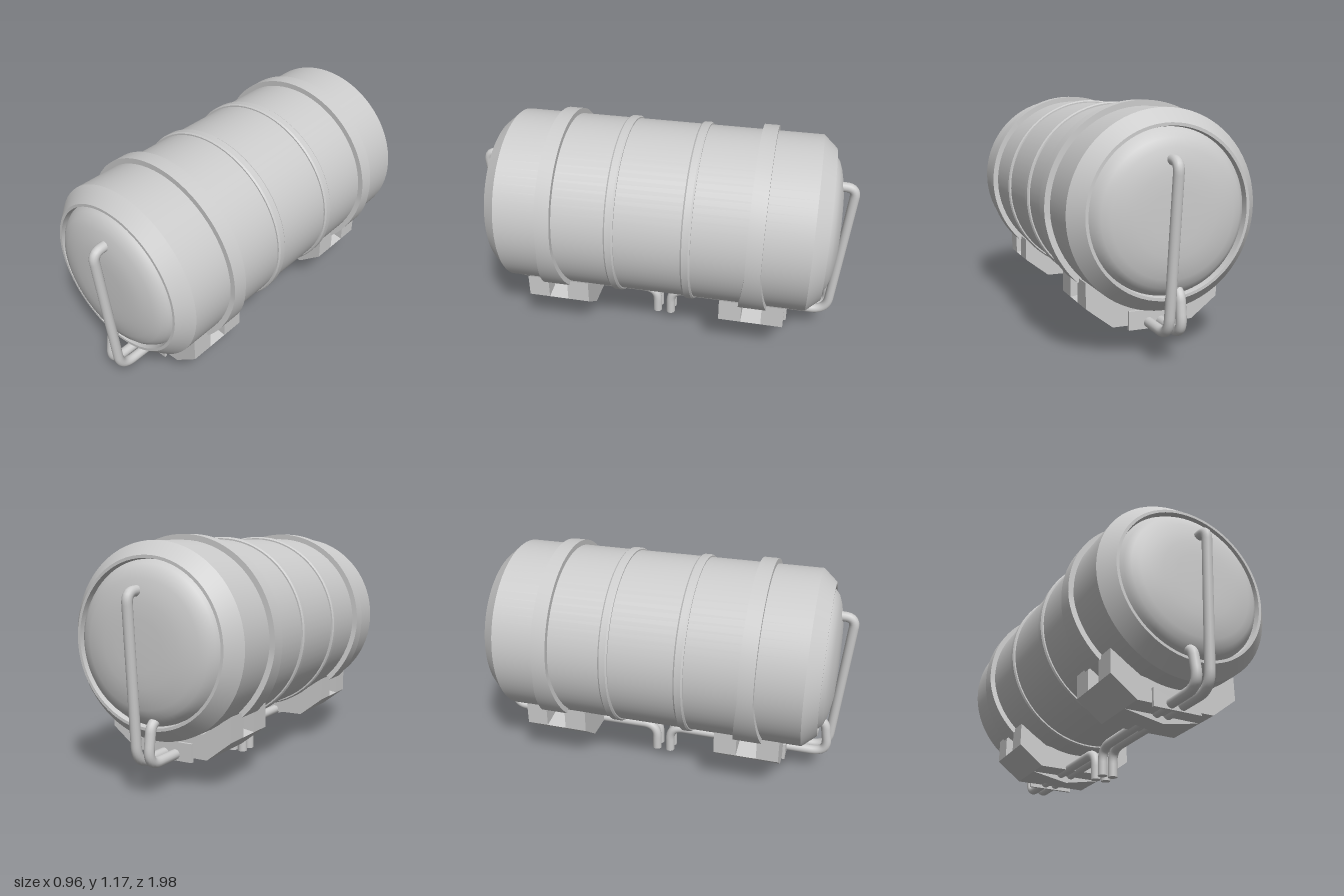
import * as THREE from 'three';
import { toCreasedNormals } from 'three/addons/utils/BufferGeometryUtils.js';

const AXIS_Y = 0.685; // height of the tank axis
const material = new THREE.MeshStandardMaterial({ color: 0xcccccc });

function addMesh(parent, name, geometry) {
  const mesh = new THREE.Mesh(geometry, material);
  mesh.name = name;
  parent.add(mesh);
  return mesh;
}

// Profile of [radius, z] turned around the z axis
function turned(profile) {
  const points = profile.map(([r, z]) => new THREE.Vector2(r, z));
  const geometry = new THREE.LatheGeometry(points, 72).rotateX(Math.PI / 2);
  return toCreasedNormals(geometry, 0.5).translate(0, AXIS_Y, 0);
}

// Half outline mirrored in x and extruded from z0 to z1
function slab(half, z0, z1) {
  const left = half.filter(([x]) => x > 0).reverse().map(([x, y]) => [-x, y]);
  const shape = new THREE.Shape([...half, ...left].map(([x, y]) => new THREE.Vector2(x, y)));
  return new THREE.ExtrudeGeometry(shape, { depth: z1 - z0, bevelEnabled: false }).translate(0, 0, z0);
}

// Pipe through corner points [x, y, z, bend size]
function pipe(corners, radius) {
  const p = corners.map(([x, y, z]) => new THREE.Vector3(x, y, z));
  const path = new THREE.CurvePath();
  let from = p[0];
  for (let i = 1; i < p.length - 1; i++) {
    const bend = corners[i][3];
    const a = p[i].clone().add(p[i - 1].clone().sub(p[i]).setLength(bend));
    const b = p[i].clone().add(p[i + 1].clone().sub(p[i]).setLength(bend));
    path.add(new THREE.LineCurve3(from, a));
    path.add(new THREE.QuadraticBezierCurve3(a, p[i], b));
    from = b;
  }
  path.add(new THREE.LineCurve3(from, p[p.length - 1]));
  return new THREE.TubeGeometry(path, 140, radius, 16, false);
}

// Band over the tank that widens towards its two lower ends
function strapGeometry(zMid) {
  const steps = 80, start = -0.8, end = Math.PI + 0.8;
  const positions = [], index = [];
  for (let i = 0; i <= steps; i++) {
    const a = start + (end - start) * i / steps;
    const drop = Math.max(0, -0.09 - Math.sin(a)) / 0.63;
    const w = 0.038 + 0.034 * Math.pow(drop, 1.1);
    for (const [r, z] of [[0.445, -w], [0.445, w], [0.482, w], [0.482, -w]]) {
      positions.push(r * Math.cos(a), AXIS_Y + r * Math.sin(a), zMid + z);
    }
    if (i === steps) break;
    for (let k = 0; k < 4; k++) {
      const p = i * 4 + k, q = i * 4 + (k + 1) % 4;
      index.push(q, q + 4, p + 4, q, p + 4, p);
    }
  }
  const e = steps * 4;
  index.push(0, 2, 1, 0, 3, 2, e, e + 1, e + 2, e, e + 2, e + 3);
  const geometry = new THREE.BufferGeometry();
  geometry.setAttribute('position', new THREE.Float32BufferAttribute(positions, 3));
  geometry.setIndex(index);
  return toCreasedNormals(geometry, 0.6);
}

export function createModel() {
  const model = new THREE.Group();
  model.name = 'tankOnSaddles';

  // Tank shell: chamfered ends, lip and shallow domed heads
  const frontHalf = [
    [0.455, 0.785], [0.392, 0.856], [0.378, 0.856], [0.374, 0.825],
    [0.355, 0.855], [0.33, 0.876], [0.29, 0.891], [0.24, 0.903],
    [0.19, 0.911], [0.12, 0.914], [0, 0.915],
  ];
  const backHalf = frontHalf.map(([r, z]) => [r, -z]).reverse();
  addMesh(model, 'tank', turned([...backHalf, ...frontHalf]));

  const saddleHalf = [[0, 0.14], [0.2, 0.14], [0.33, 0.24], [0.33, 0.36], [0.18, 0.26], [0, 0.23]];
  const webHalf = [[0, 0.102], [0.2, 0.14], [0.33, 0.24], [0.18, 0.267], [0, 0.235]];

  for (const side of [1, -1]) {
    const end = new THREE.Group();
    end.name = side > 0 ? 'frontFittings' : 'backFittings';
    model.add(end);
    const slabAt = (name, half, z0, z1) =>
      addMesh(end, name, slab(half, Math.min(side * z0, side * z1), Math.max(side * z0, side * z1)));

    // Hoop rib and retaining strap
    const z = side * 0.19;
    addMesh(end, 'rib', turned([
      [0.45, z - 0.024], [0.462, z - 0.024], [0.468, z - 0.016],
      [0.468, z + 0.016], [0.462, z + 0.024], [0.45, z + 0.024],
    ]));
    addMesh(end, 'strap', strapGeometry(side * 0.52));

    // Saddle: two cradle blocks joined by a web, with an end plate
    slabAt('outerSaddle', saddleHalf, 0.57, 0.682);
    slabAt('innerSaddle', saddleHalf, 0.35, 0.466);
    slabAt('saddleWeb', webHalf, 0.466, 0.57);
    slabAt('pipePlate', [[0.125, 0.12], [0.125, 0.21]], 0.68, 0.696);

    // Long pipe from the upper head, short pipe from the lower head
    addMesh(end, 'longPipe', pipe([
      [0.018, 0.925, side * 0.86, 0], [0.018, 0.92, side * 0.968, 0.05],
      [0.026, 0.15, side * 0.905, 0.085], [0.026, 0.15, side * 0.038, 0.08],
      [0.026, 0, side * 0.038, 0],
    ], 0.0245));
    addMesh(end, 'shortPipe', pipe([
      [-0.037, 0.345, side * 0.82, 0], [-0.037, 0.34, side * 0.882, 0.045],
      [-0.037, 0.15, side * 0.912, 0.085], [-0.031, 0.15, side * 0.038, 0.08],
      [-0.031, 0, side * 0.038, 0],
    ], 0.0245));

    // Closed lower pipe ends
    for (const x of [0.026, -0.031]) {
      const cap = addMesh(end, 'pipeEnd', new THREE.CircleGeometry(0.0245, 16).rotateX(Math.PI / 2));
      cap.position.set(x, 0, side * 0.038);
    }
  }
  return model;
}
